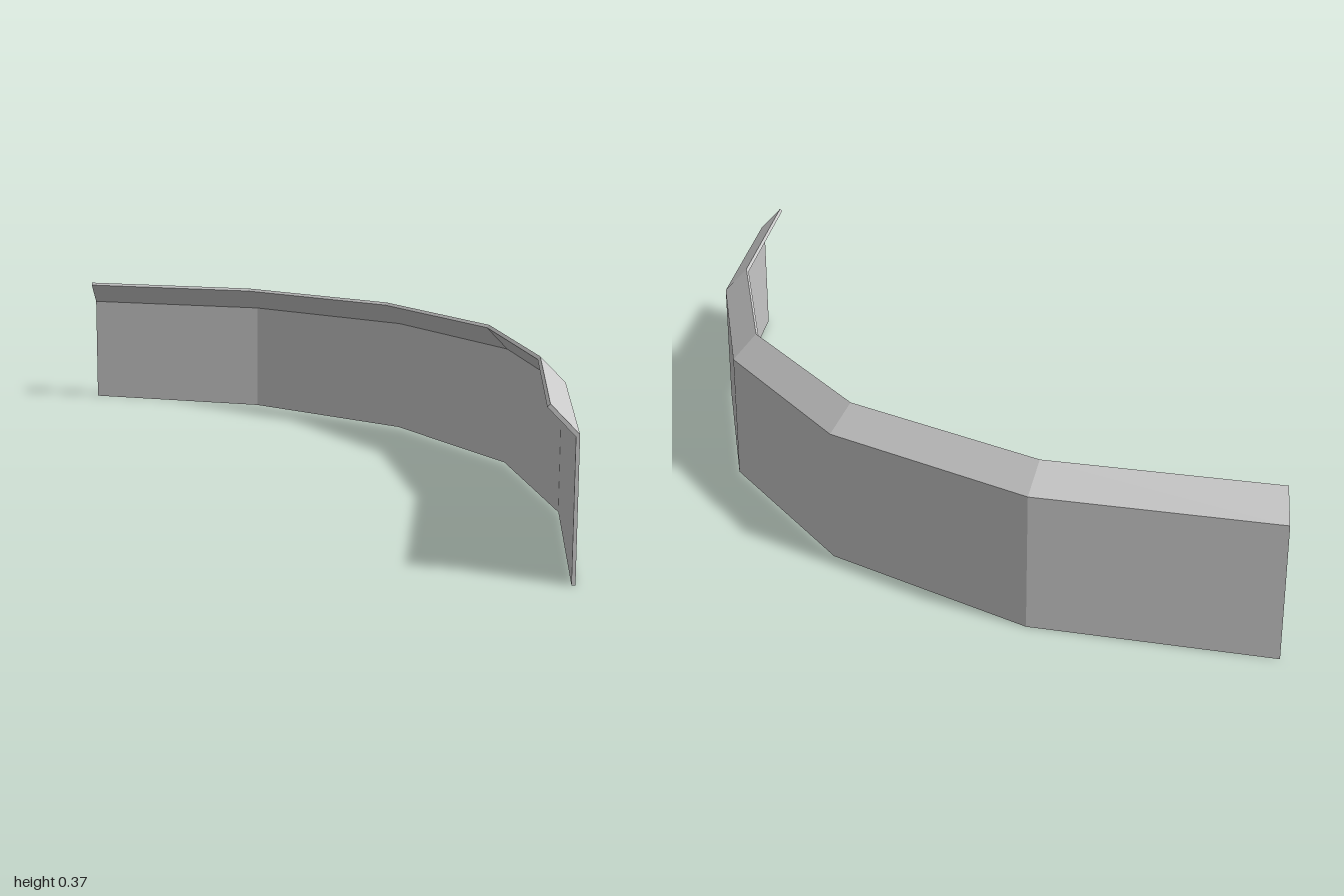
import * as THREE from 'three';

// Outer wall line in plan (x, z), from the back end round to the front end
const path = [
  [-0.707, -1], [-0.174, -0.895], [0.282, -0.592],
  [0.586, -0.139], [0.705, 0.393], [0.705, 1],
].map(([x, z]) => new THREE.Vector2(x, z));

// Cross-section (inward offset, height): thin wall with a lip leaning inward
const wallSection = [[0, 0], [0, 0.31], [0.008, 0.305], [0.008, 0]];
const lipSection = [[0, 0.31], [0.06, 0.371], [0.066, 0.364], [0.008, 0.305]];

// Inward unit normal of path segment i
function inward(i) {
  const d = path[i + 1].clone().sub(path[i]).normalize();
  return new THREE.Vector2(-d.y, d.x);
}

// Mitre direction at every path point; the back end is cut square to x
const mitres = path.map((p, i) => {
  if (i === 0) return new THREE.Vector2(0, 1 / inward(0).y);
  const a = inward(i - 1);
  const b = i < path.length - 1 ? inward(i) : a;
  return a.clone().add(b).divideScalar(1 + a.dot(b));
});

// Sweep a four-sided section along the path; openSides lists the joined sides to leave out
function sweep(section, openSide) {
  const rings = path.map((p, i) => section.map(([d, y]) =>
    [p.x + mitres[i].x * d, y, p.y + mitres[i].y * d]));
  const positions = [];
  const quad = (a, b, c, d) => positions.push(...a, ...b, ...c, ...a, ...c, ...d);
  for (let i = 0; i < rings.length - 1; i++) {
    const r = rings[i], s = rings[i + 1];
    for (let k = 0; k < 4; k++) {
      if (k === openSide) continue;
      const n = (k + 1) % 4;
      quad(r[k], r[n], s[n], s[k]);
    }
  }
  // End caps
  const first = rings[0], last = rings[rings.length - 1];
  quad(first[3], first[2], first[1], first[0]);
  quad(last[0], last[1], last[2], last[3]);
  const geometry = new THREE.BufferGeometry();
  geometry.setAttribute('position', new THREE.Float32BufferAttribute(positions, 3));
  geometry.computeVertexNormals();
  return geometry;
}

export function createModel() {
  const group = new THREE.Group();
  group.name = 'curvedBarrier';
  const grey = new THREE.MeshStandardMaterial({ color: 0xcccccc });
  grey.name = 'lightGrey';

  // Upright faceted wall
  const wall = new THREE.Mesh(sweep(wallSection, 1), grey);
  wall.name = 'wall';

  // Sloping lip along the top
  const lip = new THREE.Mesh(sweep(lipSection, 3), grey);
  lip.name = 'lip';

  group.add(wall, lip);
  return group;
}
